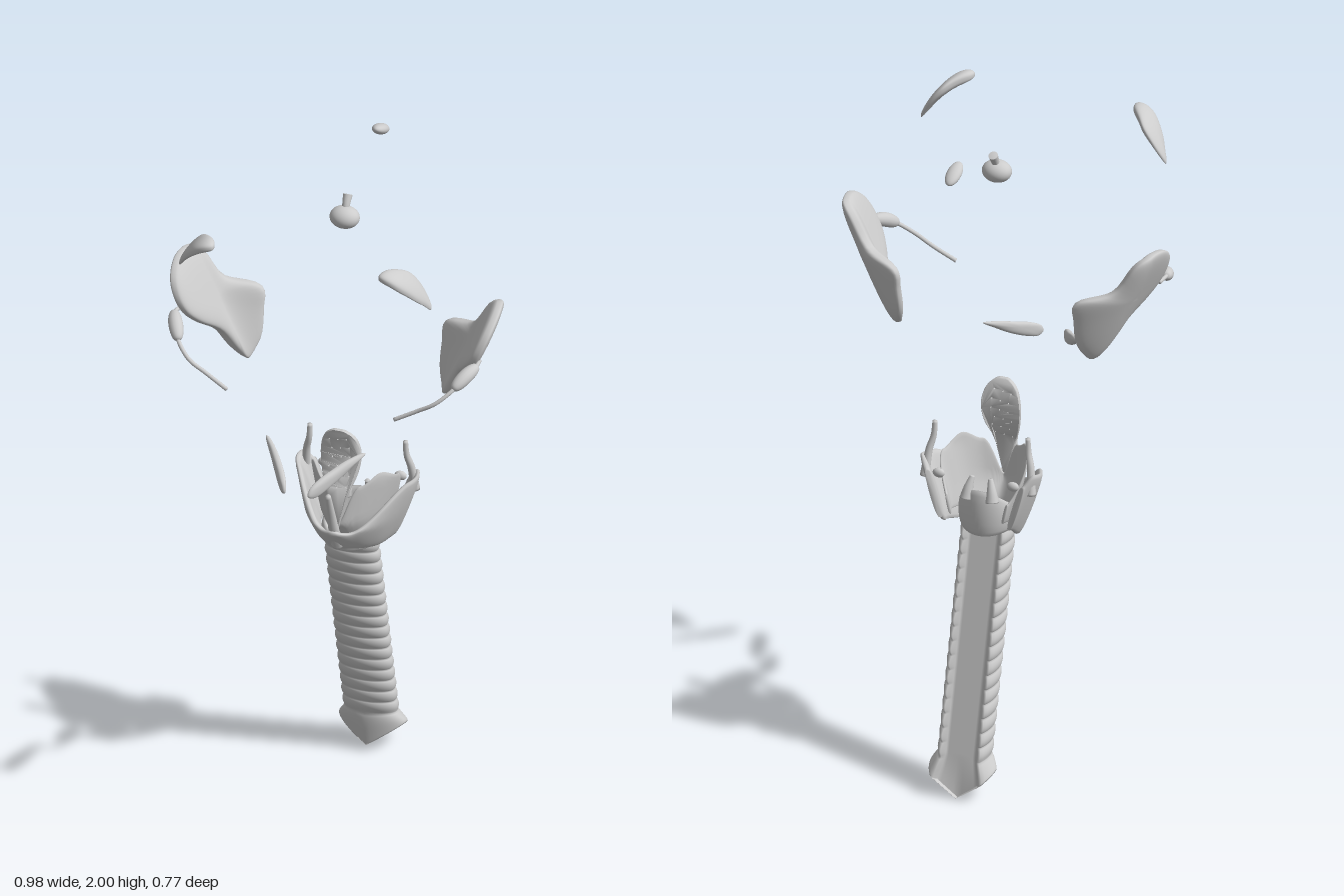
import * as THREE from 'three';
import { mergeVertices, toCreasedNormals } from 'three/addons/utils/BufferGeometryUtils.js';

const V = (p) => new THREE.Vector3(...p);
const spow = (v, e) => Math.sign(v) * Math.abs(v) ** e;

// Reverse the corner order of every face.
function flip(geo) {
  const a = geo.index.array;
  for (let i = 0; i < a.length; i += 3) [a[i], a[i + 1]] = [a[i + 1], a[i]];
  return geo;
}

// Make faces point outward (positive volume) and smooth the normals.
function finish(geo) {
  const p = geo.attributes.position, a = geo.index.array;
  const v = [0, 1, 2].map(() => new THREE.Vector3());
  const mid = new THREE.Vector3();
  geo.computeBoundingBox();
  geo.boundingBox.getCenter(mid);
  let vol = 0;
  for (let i = 0; i < a.length; i += 3) {
    v.forEach((w, k) => w.fromBufferAttribute(p, a[i + k]).sub(mid));
    vol += v[0].dot(v[1].clone().cross(v[2]));
  }
  if (vol < 0) flip(geo);
  geo.computeVertexNormals();
  return geo;
}

function mirror(geo) {
  const g = geo.clone();
  g.scale(-1, 1, 1);
  flip(g).computeVertexNormals();
  return g;
}

// Skin closed cross-section loops; ring joins last to first, caps fan the ends.
function loft(rows, { ring = false, caps = [true, true] } = {}) {
  const n = rows[0].length, m = rows.length, pts = rows.flat(2), idx = [];
  for (let i = 0; i < (ring ? m : m - 1); i++) for (let j = 0; j < n; j++) {
    const k = (j + 1) % n, i2 = (i + 1) % m;
    const a = i * n + j, b = i * n + k, c = i2 * n + k, d = i2 * n + j;
    idx.push(a, b, c, a, c, d);
  }
  if (!ring) [0, m - 1].forEach((r, e) => {
    if (!caps[e]) return;
    const c = pts.length / 3;
    pts.push(...[0, 1, 2].map((k) => rows[r].reduce((s, q) => s + q[k], 0) / n));
    for (let j = 0; j < n; j++) {
      const a = r * n + j, b = r * n + (j + 1) % n;
      idx.push(...(e ? [c, a, b] : [c, b, a]));
    }
  });
  const g = new THREE.BufferGeometry();
  g.setAttribute('position', new THREE.Float32BufferAttribute(pts, 3));
  g.setIndex(idx);
  return finish(g);
}

// Soft pad: a sphere remapped to a closed 2D outline, then placed by a rule.
// A lower boxy value gives flatter faces and fuller edges.
function pad(outline, boxy, place) {
  const curve = new THREE.CatmullRomCurve3(outline.map(([a, b]) => V([a, b, 0])), true);
  const c = outline.reduce((s, [a, b]) => s.add(V([a, b, 0])), V([0, 0, 0])).divideScalar(outline.length);
  let g = new THREE.SphereGeometry(1, 64, 32).rotateX(Math.PI / 2);
  g.deleteAttribute('uv');
  g.deleteAttribute('normal');
  g = mergeVertices(g, 1e-5);
  const p = g.attributes.position;
  for (let i = 0; i < p.count; i++) {
    const x = p.getX(i), y = p.getY(i), h = spow(p.getZ(i), boxy);
    const r = Math.hypot(x, y) ** boxy;
    const q = curve.getPoint((Math.atan2(y, x) / (2 * Math.PI) + 1) % 1).lerp(c, 1 - r);
    p.setXYZ(i, ...place(q.x, q.y, h));
  }
  return finish(g);
}

// Tapered round rod along points; radius is a function of 0..1.
function rod(points, radius, steps = 28, sides = 12) {
  const curve = new THREE.CatmullRomCurve3(points.map(V));
  const f = curve.computeFrenetFrames(steps), rows = [];
  for (let i = 0; i <= steps; i++) {
    const c = curve.getPointAt(i / steps), r = radius(i / steps);
    rows.push(Array.from({ length: sides }, (_, j) => {
      const a = (j / sides) * Math.PI * 2;
      return c.clone().addScaledVector(f.normals[i], r * Math.cos(a)).addScaledVector(f.binormals[i], r * Math.sin(a)).toArray();
    }));
  }
  return loft(rows);
}

// Height read from a few [position, height] stops with smooth steps.
function stops(list, t) {
  let i = 0;
  while (i < list.length - 2 && t > list[i + 1][0]) i++;
  const [a, b] = [list[i], list[i + 1]];
  return a[1] + (b[1] - a[1]) * THREE.MathUtils.smoothstep(t, a[0], b[0]);
}

// Upright V-shaped wall that narrows downward.
function wall(size, thick, bottom, top) {
  const half = [[0, 0.075], [0.07, 0.04], [0.125, -0.02], [0.16, -0.09], [0.18, -0.15], [0.155, -0.2]];
  const plan = [...half.slice(1).reverse().map(([x, z]) => [-x, z]), ...half];
  const curve = new THREE.CatmullRomCurve3(plan.map(([x, z]) => V([x, 0, z])));
  const rows = [], N = 120, S = 24;
  for (let i = 0; i <= N; i++) {
    const u = i / N, a = Math.abs(2 * u - 1);
    const c = curve.getPoint(u), t = curve.getTangent(u);
    const lo = stops(bottom, a), hi = stops(top, a), row = [];
    for (let j = 0; j < S; j++) {
      const w = (j / S) * Math.PI * 2;
      const y = (lo + hi) / 2 + ((hi - lo) / 2) * Math.sin(w);
      const o = thick * spow(Math.cos(w), 0.6);
      const kx = size * THREE.MathUtils.clamp(0.6 + (0.4 * (y - 0.77)) / 0.21, 0.55, 1.03);
      const kz = size * (0.6 + 0.35 * THREE.MathUtils.clamp((y - 0.77) / 0.1, 0, 1));
      row.push([c.x * kx + t.z * o, y, -0.15 + (c.z + 0.15) * (c.z > -0.15 ? kz : size) - t.x * o]);
    }
    rows.push(row);
  }
  return loft(rows);
}

// Windpipe: ringed front, flat back, flared lower end closing in a ridge.
function windpipe() {
  const rows = [], N = 204, S = 48, rings = 17;
  for (let i = 0; i <= N; i++) {
    const t = i / N, flare = THREE.MathUtils.smoothstep(t, 0.93, 1), row = [];
    for (let j = 0; j < S; j++) {
      const a = (j / S) * Math.PI * 2, s = Math.sin(a), c = Math.cos(a);
      const rib = (c > -0.75 ? 1 : 0) * (1 - flare) * 0.006 * Math.abs(Math.sin(t * rings * Math.PI)) ** 0.7;
      const x = s * (0.075 + rib + 0.025 * flare);
      const z = c > 0 ? c * (0.05 + rib) : Math.max(c * 1.6, -1) * (0.048 + rib) + (c < -0.75 ? 0.01 : 0);
      const drop = flare * Math.max(0, 0.075 - 0.75 * Math.abs(x));
      row.push([x, 0.78 - 0.695 * t - drop + z * 0.22, -0.09 - 0.18 * t + z * (1 + 0.15 * flare) - 0.008 * flare]);
    }
    rows.push(row);
  }
  rows.push(rows[N].map(([, , z]) => [0, 0.004 + 0.6 * Math.max(0, z + 0.27), z]));
  return loft(rows, { caps: [false, false] });
}

// Ring below the shield, low in front and tall behind.
function ringCartilage() {
  const rows = [];
  for (let i = 0; i < 56; i++) {
    const a = (i / 56) * Math.PI * 2, back = (1 - Math.cos(a)) / 2;
    rows.push(Array.from({ length: 14 }, (_, j) => {
      const w = (j / 14) * Math.PI * 2, r = 1 + 0.14 * Math.cos(w);
      const y = 0.785 + 0.045 * back + (0.022 + 0.05 * back ** 2) * Math.sin(w);
      return [0.076 * r * Math.sin(a), y, -0.1 + 0.07 * r * Math.cos(a)];
    }));
  }
  return loft(rows, { ring: true });
}

// Leaf-shaped flap with small pits through it.
function leafFlap() {
  const side = [[0.012, 0.91], [0.03, 0.98], [0.051, 1.04], [0.058, 1.1], [0.046, 1.15], [0.02, 1.175]];
  const s = new THREE.Shape();
  s.moveTo(0, 0.86);
  s.splineThru([...side, [0, 1.178], ...side.slice().reverse().map(([x, y]) => [-x, y]), [0, 0.86]].map((p) => new THREE.Vector2(...p)));
  for (let r = 0; r < 6; r++) for (let c = -1; c <= 1; c++) {
    const h = new THREE.Path();
    h.absarc(c * 0.026 + 0.006 * Math.sin(r * 2.3), 1.0 + r * 0.029 + 0.004 * c, 0.0035, 0, Math.PI * 2, true);
    s.holes.push(h);
  }
  const g = new THREE.ExtrudeGeometry(s, { depth: 0.01, bevelSize: 0.002, bevelThickness: 0.002, bevelSegments: 2, curveSegments: 8 });
  const p = g.attributes.position;
  for (let i = 0; i < p.count; i++) {
    const x = p.getX(i), y = p.getY(i);
    p.setZ(i, p.getZ(i) - 0.014 - x * x + Math.min(0.03, 2.5 * (y - 1.1) ** 2));
  }
  return toCreasedNormals(g, 0.8);
}

export function createModel() {
  const model = new THREE.Group();
  const grey = new THREE.MeshStandardMaterial({ color: 0xcccccc, side: THREE.DoubleSide });
  grey.name = 'tissue grey';
  const add = (name, geo) => {
    const m = new THREE.Mesh(geo, grey);
    m.name = name;
    model.add(m);
  };
  const pair = (name, geo) => {
    add(name + 'Left', geo);
    add(name + 'Right', mirror(geo));
  };
  const ball = (x, y, z, sx, sy, sz, tilt = 0) =>
    new THREE.SphereGeometry(1, 28, 18).scale(sx, sy, sz).rotateX(tilt).translate(x, y, z);

  // Throat
  add('windpipe', windpipe());
  add('ringCartilage', ringCartilage());
  add('shieldCartilage', wall(1, 0.012, [[0, 0.79], [0.5, 0.77], [0.8, 0.78], [1, 0.81]],
    [[0, 0.88], [0.15, 0.865], [0.68, 0.975], [0.9, 0.985], [1, 0.95]]));
  add('innerMembrane', wall(0.74, 0.005, [[0, 0.81], [1, 0.82]],
    [[0, 0.88], [0.2, 0.99], [0.42, 1.02], [0.68, 0.99], [1, 0.88]]));
  add('frontProng', rod([[0, 0.81, 0.015], [0, 0.87, 0.048], [0, 0.94, 0.073], [0, 1.012, 0.099]], (t) => 0.019 - 0.011 * t));
  pair('horn', rod([[0.165, 0.92, -0.175], [0.157, 1.0, -0.16], [0.147, 1.04, -0.152], [0.144, 1.085, -0.15]], (t) => 0.014 - 0.007 * t));
  pair('backKnob', ball(0.115, 0.945, -0.19, 0.018, 0.014, 0.011));
  pair('smallCartilage', rod([[0.04, 0.87, -0.165], [0.036, 0.9, -0.16], [0.028, 0.935, -0.15]], (t) => 0.02 - 0.013 * t));
  add('leafFlap', leafFlap());

  // Glands under the tongue: thin upright blades
  pair('tongueGland', pad([[0.199, 1.238], [0.23, 1.213], [0.265, 1.188], [0.31, 1.164], [0.35, 1.152], [0.366, 1.162],
    [0.358, 1.182], [0.325, 1.202], [0.285, 1.216], [0.24, 1.232]], 0.8,
  (z, y, h) => [0.147 - 0.66 * (z - 0.2) - 0.9 * (z - 0.2) * (0.37 - z) + 0.013 * h, y, z]));

  // Cheek glands: side outline bent inward at the back and below
  pair('cheekGland', pad([[0.105, 1.575], [0.085, 1.625], [0.03, 1.665], [-0.03, 1.672], [-0.065, 1.655], [-0.085, 1.56], [-0.122, 1.53],
    [-0.115, 1.46], [-0.09, 1.365], [-0.055, 1.325], [-0.03, 1.36], [0, 1.43], [0.07, 1.49], [0.1, 1.53]], 0.62, (z, y, h) => {
    const d = Math.max(0, -0.03 - z), len = Math.hypot(1, 28 * d);
    const x = 0.39 + 0.47 * (y - 1.5) + 0.2 * Math.max(0, z + 0.03) - 14 * d * d;
    return [x + (0.026 * h) / len, y, z - (0.026 * h * 28 * d) / len];
  }));
  pair('ductGland', rod([[0.457, 1.54, 0.118], [0.437, 1.525, 0.16], [0.414, 1.5, 0.203]],
    (t) => 0.021 * Math.max(0.02, Math.sin(Math.PI * t)) ** 0.3, 40, 16));
  pair('cheekDuct', rod([[0.45, 1.535, 0.08], [0.454, 1.538, 0.12], [0.435, 1.522, 0.165], [0.413, 1.497, 0.203], [0.37, 1.46, 0.232],
    [0.32, 1.43, 0.236], [0.252, 1.393, 0.245]], () => 0.006, 44, 10));

  // Tear glands
  pair('tearGland', pad([[0.38, 0.286], [0.352, 0.272], [0.315, 0.277], [0.285, 0.305], [0.252, 0.347], [0.25, 0.372],
    [0.268, 0.381], [0.305, 0.375], [0.345, 0.342], [0.366, 0.312]], 0.75, (x, z, h) => [x, 1.925 - 7 * (x - 0.25) ** 2 + 0.02 * h, z]));

  // Glands at the base of the brain
  add('stalkGland', ball(0, 1.852, -0.041, 0.044, 0.033, 0.037));
  add('glandStalk', rod([[0, 1.87, -0.046], [0, 1.89, -0.055], [0, 1.912, -0.068]], (t) => 0.01 + 0.004 * t));
  add('coneGland', ball(0, 1.976, -0.343, 0.022, 0.016, 0.045, -0.44));

  return model;
}
